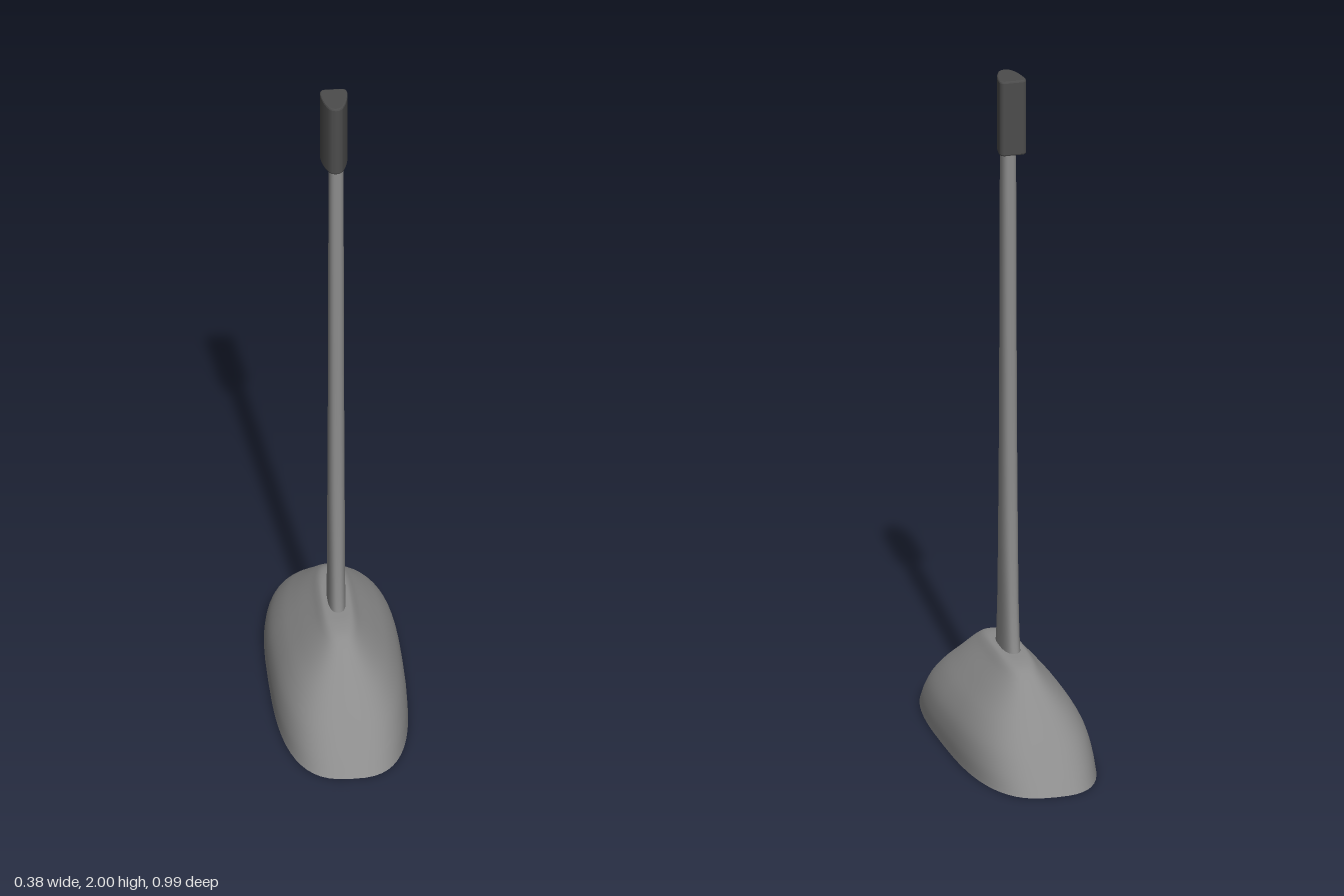
import * as THREE from 'three';

const SEGMENTS = 56;

// Lofts superelliptic rings given as [halfX, y, halfZ], smoothed along the height, with flat caps
function loft(sections, power, steps) {
  const curve = new THREE.CatmullRomCurve3(sections.map(s => new THREE.Vector3(...s)), false, 'centripetal');
  const rings = curve.getPoints(steps);
  const positions = [], index = [];
  const bend = v => Math.sign(v) * Math.abs(v) ** (2 / power);
  const addRing = r => {
    for (let j = 0; j < SEGMENTS; j++) {
      const t = (j / SEGMENTS) * Math.PI * 2;
      positions.push(r.x * bend(Math.cos(t)), r.y, r.z * bend(Math.sin(t)));
    }
  };
  rings.forEach(addRing);
  for (let i = 0; i < steps; i++) {
    for (let j = 0; j < SEGMENTS; j++) {
      const k = (j + 1) % SEGMENTS;
      const a = i * SEGMENTS + j, b = i * SEGMENTS + k;
      index.push(a, a + SEGMENTS, b, b, a + SEGMENTS, b + SEGMENTS);
    }
  }
  // caps have their own vertices so their edges stay sharp
  for (const [ring, up] of [[rings[0], false], [rings[steps], true]]) {
    const start = positions.length / 3;
    addRing(ring);
    positions.push(0, ring.y, 0);
    const centre = start + SEGMENTS;
    for (let j = 0; j < SEGMENTS; j++) {
      const cur = start + j, next = start + (j + 1) % SEGMENTS;
      index.push(centre, up ? next : cur, up ? cur : next);
    }
  }
  const geometry = new THREE.BufferGeometry();
  geometry.setAttribute('position', new THREE.Float32BufferAttribute(positions, 3));
  geometry.setIndex(index);
  geometry.computeVertexNormals();
  return geometry;
}

// Rounded wedge outline: broad at the back, narrow at the front
function gripGeometry() {
  const s = new THREE.Shape();
  s.moveTo(-0.024, 0.047);
  s.lineTo(0.024, 0.047);
  s.quadraticCurveTo(0.037, 0.046, 0.036, 0.03);
  s.bezierCurveTo(0.035, 0.0, 0.027, -0.025, 0.018, -0.042);
  s.bezierCurveTo(0.010, -0.056, -0.010, -0.056, -0.018, -0.042);
  s.bezierCurveTo(-0.027, -0.025, -0.035, 0.0, -0.036, 0.03);
  s.quadraticCurveTo(-0.037, 0.046, -0.024, 0.047);
  const bevel = 0.005;
  const geometry = new THREE.ExtrudeGeometry(s, {
    depth: 0.225 - 2 * bevel, curveSegments: 8,
    bevelThickness: bevel, bevelSize: bevel, bevelOffset: -0.002, bevelSegments: 2,
  });
  geometry.rotateX(-Math.PI / 2);
  geometry.translate(-0.004, 1.775 + bevel, 0);
  return geometry;
}

export function createModel() {
  const model = new THREE.Group();
  const grey = new THREE.MeshStandardMaterial({ color: 0x8c8c8c });
  const dark = new THREE.MeshStandardMaterial({ color: 0x4c4c4c });
  const add = (name, geometry, material) => {
    const mesh = new THREE.Mesh(geometry, material);
    mesh.name = name;
    model.add(mesh);
  };

  // domed foot with a long oval footprint
  add('base', loft([
    [0.192, 0, 0.497], [0.189, 0.05, 0.45], [0.177, 0.1, 0.4], [0.15, 0.15, 0.342],
    [0.11, 0.2, 0.277], [0.066, 0.25, 0.213], [0.05, 0.27, 0.175], [0.04, 0.279, 0.13], [0.028, 0.282, 0.08],
  ], 2.8, 40), grey);

  // slender flat post flaring towards the foot
  add('stem', loft([
    [0.026, 0.26, 0.081], [0.025, 0.32, 0.071], [0.024, 0.42, 0.06], [0.024, 0.6, 0.049],
    [0.023, 0.85, 0.041], [0.022, 1.2, 0.036], [0.021, 1.79, 0.031],
  ], 2.6, 32), grey);

  // cap at the top of the post
  add('grip', gripGeometry(), dark);

  return model;
}
